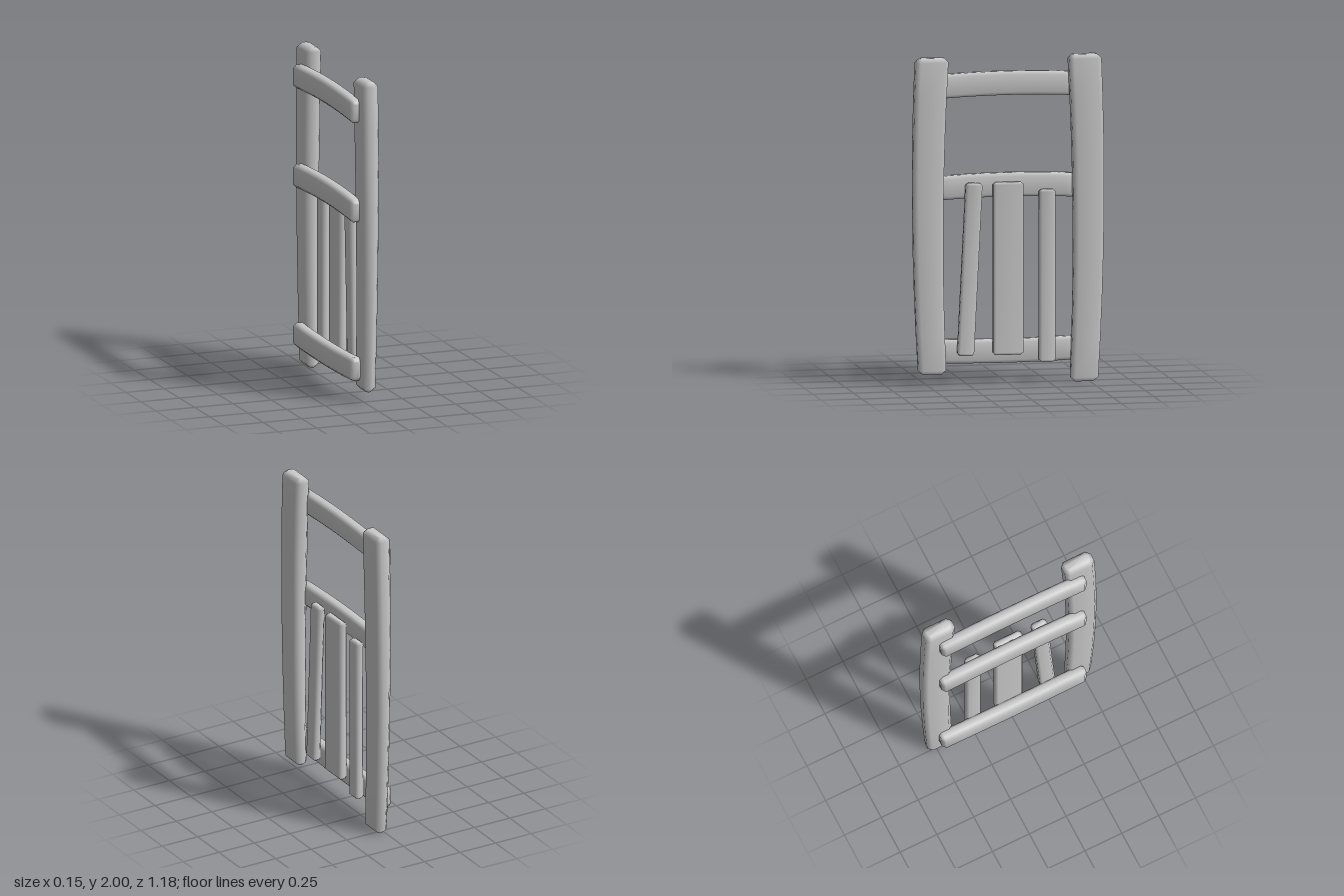
import * as THREE from 'three';

// Chamfered bar along y, lofted from octagonal rings.
// at(s) gives [half thickness x, half width z, offset z] for s = 0..1 along the length.
function barGeometry(length, chamfer, steps, at) {
  const positions = [], index = [];
  const rings = [[0, chamfer]];
  for (let i = 0; i <= steps; i++) {
    rings.push([chamfer + (length - 2 * chamfer) * i / steps, 0]);
  }
  rings.push([length, chamfer]);

  for (const [y, inset] of rings) {
    const [hx, hz, offset] = at(y / length);
    const a = hx - inset, b = hz - inset, c = inset ? chamfer * 0.45 : chamfer;
    const corners = [
      [a, b - c], [a - c, b], [c - a, b], [-a, b - c],
      [-a, c - b], [c - a, -b], [a - c, -b], [a, c - b],
    ];
    for (const [x, z] of corners) positions.push(x, y - length / 2, z + offset);
  }

  for (let r = 0; r < rings.length - 1; r++) {
    for (let k = 0; k < 8; k++) {
      const p = r * 8 + k, q = r * 8 + (k + 1) % 8;
      index.push(p, p + 8, q, q, p + 8, q + 8);
    }
  }
  // End caps
  const last = (rings.length - 1) * 8;
  for (let k = 1; k < 7; k++) {
    index.push(0, k, k + 1);
    index.push(last, last + k + 1, last + k);
  }

  const geometry = new THREE.BufferGeometry();
  geometry.setAttribute('position', new THREE.Float32BufferAttribute(positions, 3));
  geometry.setIndex(index);
  geometry.computeVertexNormals();
  return geometry;
}

export function createModel() {
  const group = new THREE.Group();
  const material = new THREE.MeshStandardMaterial({ color: 0xcccccc });
  const add = (name, geometry, x, y, z) => {
    const mesh = new THREE.Mesh(geometry, material);
    mesh.name = name;
    mesh.position.set(x, y, z);
    group.add(mesh);
    return mesh;
  };
  const arch = (s) => 1 - (2 * s - 1) ** 2;

  // Side posts: wider at the top, bowed outwards in the middle
  for (const [name, side, bottom] of [['frontPost', 1, 0.065], ['backPost', -1, 0]]) {
    const length = 2 - bottom;
    const geometry = barGeometry(length, 0.026, 8, (s) => [
      0.04 + 0.01 * Math.min(1, s * 1.3),
      0.085 + 0.0155 * s,
      side * (0.468 + 0.003 * s + 0.026 * arch(s)),
    ]);
    add(name, geometry, 0.025, bottom + length / 2, 0);
  }

  // Cross rails: gently arched, the lowest one sagging
  const rails = [['topRail', 1.809, 0.018], ['middleRail', 1.189, 0.018], ['bottomRail', 0.203, -0.012]];
  for (const [name, y, bow] of rails) {
    const geometry = barGeometry(0.98, 0.02, 8, (s) => [0.039, 0.0725, bow * arch(s)]);
    geometry.rotateX(-Math.PI / 2);
    add(name, geometry, -0.039, y, 0);
  }

  // Upright slats, one of them leaning
  const slats = [
    ['leaningSlat', 0.051, 0.702, 0.237, 0.05],
    ['wideSlat', 0.094, 0.702, 0, 0],
    ['narrowSlat', 0.05, 0.652, -0.24, 0],
  ];
  for (const [name, halfWidth, y, z, lean] of slats) {
    const geometry = barGeometry(1.055, 0.015, 1, () => [0.027, halfWidth, 0]);
    add(name, geometry, 0.027, y, z).rotation.x = -lean;
  }

  return group;
}
